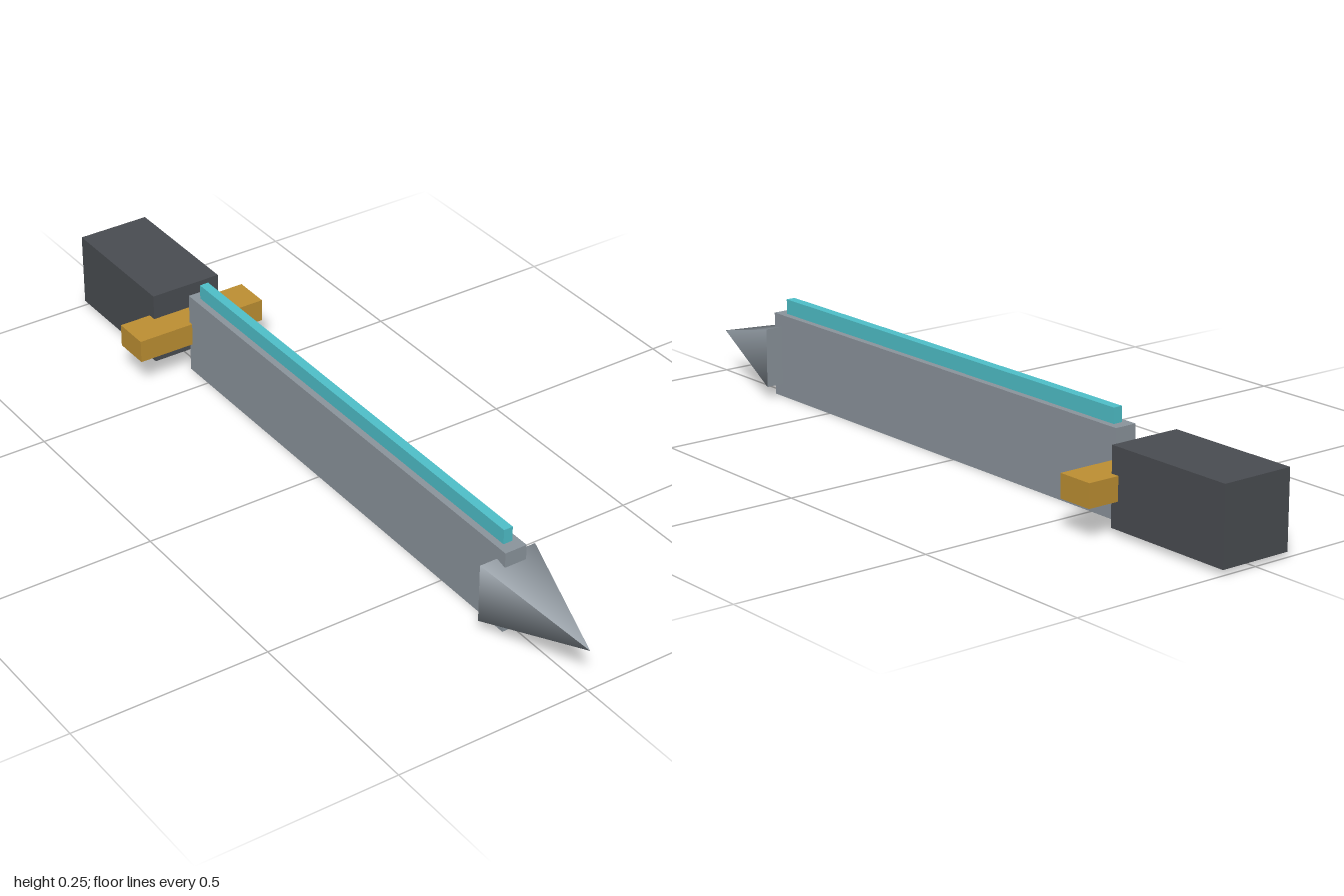
import * as THREE from 'three';

const material = (name, color) => {
  const m = new THREE.MeshStandardMaterial({ color });
  m.name = name;
  return m;
};

export function createModel() {
  const group = new THREE.Group();
  const steel = material('steel', 0x8c959d);
  const gold = material('gold', 0xbe9033);
  const dark = material('darkGrip', 0x4a4d52);
  const cyan = material('cyanGlow', 0x4fc0ca);

  // Box given by its half width and its y and z extents, centred on x = 0
  const addBox = (name, mat, halfX, [y0, y1], [z0, z1]) => {
    const mesh = new THREE.Mesh(new THREE.BoxGeometry(halfX * 2, y1 - y0, z1 - z0), mat);
    mesh.name = name;
    mesh.position.set(0, (y0 + y1) / 2, (z0 + z1) / 2);
    group.add(mesh);
  };

  addBox('blade', steel, 0.029, [0, 0.215], [-0.581, 0.731]);
  addBox('glowingEdge', cyan, 0.012, [0.205, 0.253], [-0.554, 0.701]);
  addBox('guard', gold, 0.179, [0.079, 0.138], [-0.665, -0.569]);
  addBox('grip', dark, 0.095, [0.013, 0.204], [-1, -0.643]);

  // Four-sided, smooth-shaded point facing forward
  const tipGeometry = new THREE.ConeGeometry(0.107, 0.298, 4)
    .rotateY(Math.PI / 4)
    .rotateX(Math.PI / 2);
  const tip = new THREE.Mesh(tipGeometry, steel);
  tip.name = 'bladeTip';
  tip.position.set(0, 0.108, 0.851);
  group.add(tip);

  return group;
}
